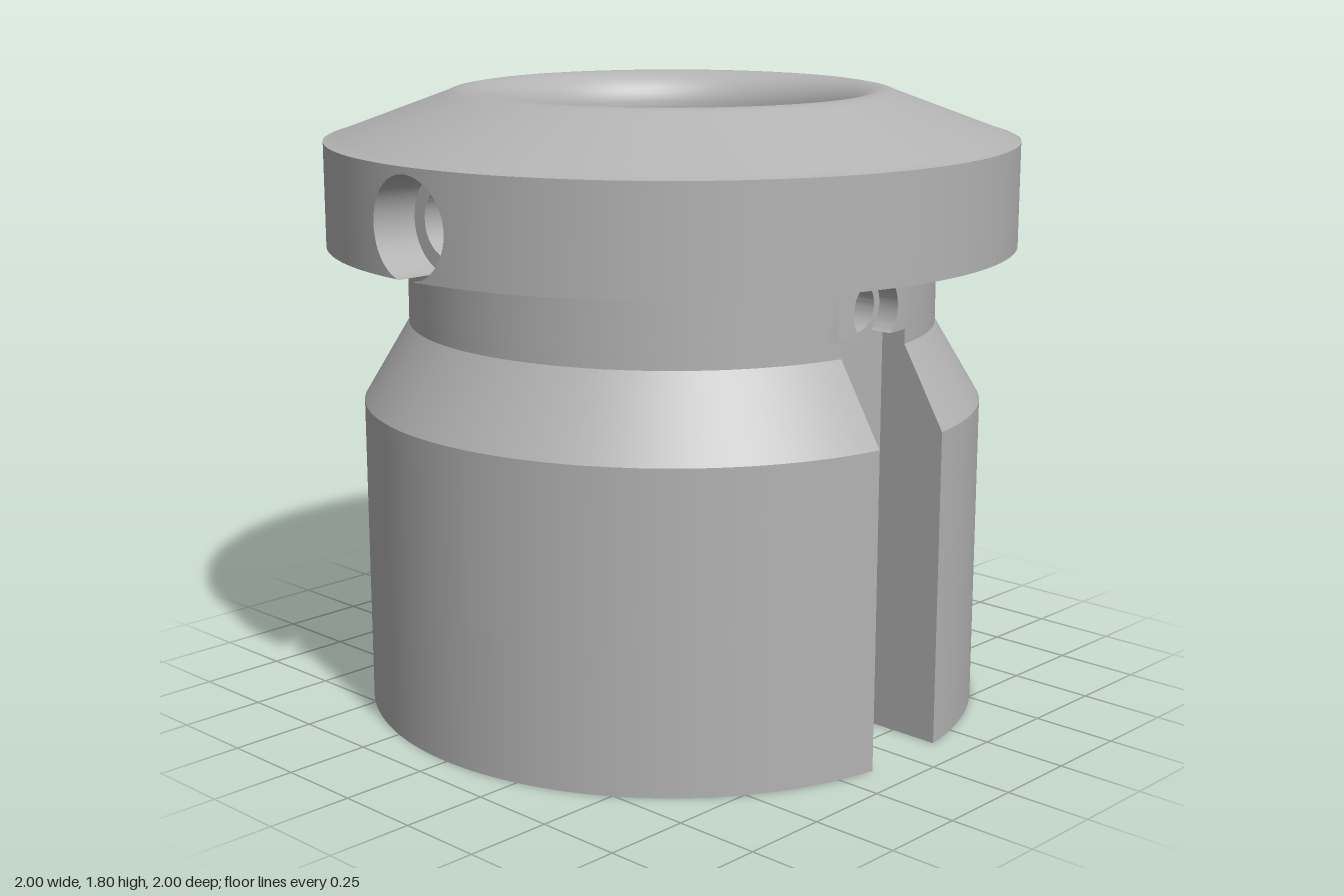
import * as THREE from 'three';
import { mergeGeometries, toCreasedNormals } from 'three/addons/utils/BufferGeometryUtils.js';

const PI = Math.PI, BODY_R = 0.905, NECK_R = 0.77, BORE_R = 0.505;
const SLOT = { half: 0.137, floor: 0.68, top: 1.18 };
const NOTCH = { angles: [PI - 0.576, PI + 0.576], centre: 0.92, r: 0.15, psi: 1.389, half: 0.1637, top: 0.41 };
const SIDE_HOLE = { y: 1.252, r: 0.095, step: 0.7 };
const RIM = { y0: 1.366, y1: 1.665, holeY: 1.503, holeR: 0.142, step: 0.85 };
const rimHoles = [PI / 2, 1.5 * PI];

const polar = (r, a) => [r * Math.cos(a), r * Math.sin(a)];
const arc = (r, a0, a1, n) => Array.from({ length: n + 1 }, (_, i) => polar(r, a0 + (a1 - a0) * i / n));

// Skin rows of points into quads; skip(i, j) leaves a quad open
function skin(rows, skip = () => false) {
  const pos = [], t = new THREE.Triangle();
  const add = (a, b, c) => {
    if (t.set(a, b, c).getArea() > 1e-9) for (const p of [a, b, c]) pos.push(p.x, p.y, p.z);
  };
  for (let j = 0; j < rows.length - 1; j++) {
    for (let i = 0; i < rows[j].length - 1; i++) {
      if (skip(i, j)) continue;
      const a = rows[j][i], b = rows[j][i + 1], c = rows[j + 1][i + 1], d = rows[j + 1][i];
      add(a, d, b);
      add(b, d, c);
    }
  }
  return new THREE.BufferGeometry().setAttribute('position', new THREE.Float32BufferAttribute(pos, 3));
}

// Turn a profile of [radius, y] about the vertical axis
function revolve(profile, a0 = 0, a1 = 2 * PI, n = 128) {
  return skin(profile.map(([r, y]) => arc(r, a0, a1, n).map(([x, z]) => new THREE.Vector3(x, y, z))));
}

// Join closed plan outlines at given heights
function loft(sections) {
  return skin(sections.map(([pts, y]) => [...pts, pts[0]].map(([x, z]) => new THREE.Vector3(x, y, z))));
}

// Flat face looking down, drawn in plan
function flatDown(pts, y, holes = []) {
  const vecs = (list) => list.map(([x, z]) => new THREE.Vector2(x, z));
  const shape = new THREE.Shape(vecs(pts));
  for (const h of holes) shape.holes.push(new THREE.Path(vecs(h)));
  const g = new THREE.ShapeGeometry(shape).rotateX(PI / 2).translate(0, y, 0).toNonIndexed();
  g.deleteAttribute('uv');
  g.deleteAttribute('normal');
  return g;
}

// Point at distance n out along angle A, u sideways, at height y
const radial = (A, n, u, y) =>
  new THREE.Vector3(n * Math.cos(A) - u * Math.sin(A), y, n * Math.sin(A) + u * Math.cos(A));
const SEG = 64;
const around = (fn) => Array.from({ length: SEG + 1 }, (_, i) => fn(Math.cos(2 * PI * i / SEG), Math.sin(2 * PI * i / SEG)));

// Cylindrical band with round cross holes at the given angles
function piercedBand(R, y0, y1, angles, yc, hr, U, inward = false) {
  const w = Math.asin(U / R), out = [];
  angles.forEach((A, k) => {
    const rows = [0, 0.25, 0.5, 0.75, 1].map((t) => around((c, s) => {
      const q = 1 / Math.max(Math.abs(c), Math.abs(s));
      const u = hr * c * (1 - t) + U * c * q * t;
      const hy = Math.max(yc + hr * s, y0);
      const by = yc + s * q * (s > 0 ? y1 - yc : yc - y0);
      return radial(A, Math.sqrt(R * R - u * u), u, hy * (1 - t) + by * t);
    }));
    out.push(skin(inward ? rows : rows.reverse()));
    const next = k + 1 < angles.length ? angles[k + 1] : angles[0] + 2 * PI;
    const wall = inward ? [[R, y1], [R, y0]] : [[R, y0], [R, y1]];
    out.push(revolve(wall, A + w, next - w, 96));
  });
  return out;
}

// Stepped cross hole; stages are [distance, radius, follows curved wall]
function crossHole(A, yc, stages, yMin) {
  const rows = stages.map(([n, r, curved]) => around((c, s) => {
    const u = r * c;
    return radial(A, curved ? Math.sqrt(n * n - u * u) : n, u, Math.max(yc + r * s, yMin));
  }));
  const low = (p) => p.y <= yMin + 1e-6;
  return skin(rows, (i, j) => [rows[j][i], rows[j][i + 1], rows[j + 1][i], rows[j + 1][i + 1]].every(low));
}

// Inner edge of a scooped notch
const notchArc = (A) => {
  const [cx, cz] = polar(NOTCH.centre, A);
  return arc(NOTCH.r, A + PI + NOTCH.psi, A + PI - NOTCH.psi, 24).map(([x, z]) => [cx + x, cz + z]);
};

// Plan of the body: circle with the key slot and optional notches
function outline(R, notched) {
  const a0 = Math.asin(SLOT.half / R), [A, B] = NOTCH.angles, h = NOTCH.half;
  const rim = notched
    ? [...arc(R, a0, A - h, 48), ...notchArc(A), ...arc(R, A + h, B - h, 20), ...notchArc(B), ...arc(R, B + h, 2 * PI - a0, 48)]
    : arc(R, a0, 2 * PI - a0, 128);
  return [...rim, [SLOT.floor, -SLOT.half], [SLOT.floor, SLOT.half]];
}

export function createModel() {
  const group = new THREE.Group();
  const steel = new THREE.MeshStandardMaterial({ color: 0xb3b3b3, side: THREE.DoubleSide });
  steel.name = 'plain grey';
  const part = (name, geos) => {
    const mesh = new THREE.Mesh(toCreasedNormals(mergeGeometries(geos), 0.35), steel);
    mesh.name = name;
    group.add(mesh);
  };

  // Body with key slot, notches and tapered shoulder
  part('body', [
    loft([[outline(BODY_R, true), 0], [outline(BODY_R, true), NOTCH.top]]),
    loft([[outline(BODY_R), NOTCH.top], [outline(BODY_R), 0.91], [outline(NECK_R), 1.137], [outline(NECK_R), SLOT.top]]),
    ...NOTCH.angles.map((A) =>
      flatDown([...notchArc(A), ...arc(BODY_R, A + NOTCH.half, A - NOTCH.half, 12)], NOTCH.top)),
  ]);

  // Underside with two blind pin holes
  const pinHoles = [-0.6, 0.6];
  part('underside', [
    flatDown(outline(BODY_R, true), 0, [
      arc(0.144, 0, 2 * PI, 48).slice(1),
      ...pinHoles.map((z) => arc(0.058, 0, 2 * PI, 32).slice(1).map(([x, dz]) => [x, z + dz])),
    ]),
    ...pinHoles.map((z) => revolve([[0, 0.3], [0.058, 0.3], [0.058, 0]], 0, 2 * PI, 32).translate(0, 0, z)),
  ]);

  // Roof of the key slot, opened where the side hole breaks through
  const edge = (z) => [Math.sqrt(NECK_R ** 2 - z * z), z];
  const gap = Math.sqrt(SIDE_HOLE.r ** 2 - (SIDE_HOLE.y - SLOT.top) ** 2);
  part('slotRoof', [flatDown([
    [SLOT.floor, -SLOT.half], edge(-SLOT.half), edge(-gap), [SIDE_HOLE.step, -gap],
    [SIDE_HOLE.step, gap], edge(gap), edge(SLOT.half), [SLOT.floor, SLOT.half],
  ], SLOT.top)]);

  // Neck and its side hole
  part('neck', piercedBand(NECK_R, SLOT.top, RIM.y0, [0], SIDE_HOLE.y, SIDE_HOLE.r, 0.15));
  part('sideHole', [crossHole(0, SIDE_HOLE.y, [
    [NECK_R, SIDE_HOLE.r, true], [SIDE_HOLE.step, SIDE_HOLE.r], [SIDE_HOLE.step, 0.071], [BORE_R, 0.071, true],
  ], SLOT.top)]);

  // Flange rim, with its lower face opened at the two counterbores
  const rimGap = Math.sqrt(RIM.holeR ** 2 - (RIM.holeY - RIM.y0) ** 2), d = Math.asin(rimGap);
  const lowerEdge = rimHoles.flatMap((A) => [
    ...arc(1, A + d, A + PI - d, 64),
    ...[-rimGap, rimGap].map((u) => {
      const p = radial(A + PI, RIM.step, u, 0);
      return [p.x, p.z];
    }),
  ]);
  part('flangeRim', [
    ...piercedBand(1, RIM.y0, RIM.y1, rimHoles, RIM.holeY, RIM.holeR, 0.2),
    flatDown(lowerEdge, RIM.y0, [arc(NECK_R, 0, 2 * PI, 128).slice(1)]),
  ]);
  part('flangeHoles', rimHoles.map((A) => crossHole(A, RIM.holeY, [
    [1, RIM.holeR, true], [RIM.step, RIM.holeR], [RIM.step, 0.1], [0.78, 0.1],
    [0.78, 0.08], [0.6, 0.08], [0.6, 0.06], [BORE_R, 0.06, true],
  ], RIM.y0)));

  // Sloping flange top rolling over into the bore
  const lip = arc(0.105, PI / 2, PI, 12).map(([x, y]) => [0.61 + x, 1.7 + y]);
  part('flangeTop', [revolve([
    [1, RIM.y1], [0.985, 1.668], [0.96, 1.678], [0.66, 1.79], [0.637, 1.8], ...lip,
  ])]);

  // Bore, conical floor, drain hole and countersink
  part('bore', [
    revolve([[BORE_R, 1.7], [BORE_R, 1.6]]),
    ...piercedBand(BORE_R, 1.4, 1.6, rimHoles, RIM.holeY, 0.06, 0.1, true),
    revolve([[BORE_R, 1.4], [BORE_R, 1.35]]),
    ...piercedBand(BORE_R, 1.15, 1.35, [0], SIDE_HOLE.y, 0.071, 0.1, true),
    revolve([[BORE_R, 1.15], [BORE_R, 0.65], [0.07, 0.22], [0.07, 0.07], [0.144, 0]]),
  ]);
  return group;
}
